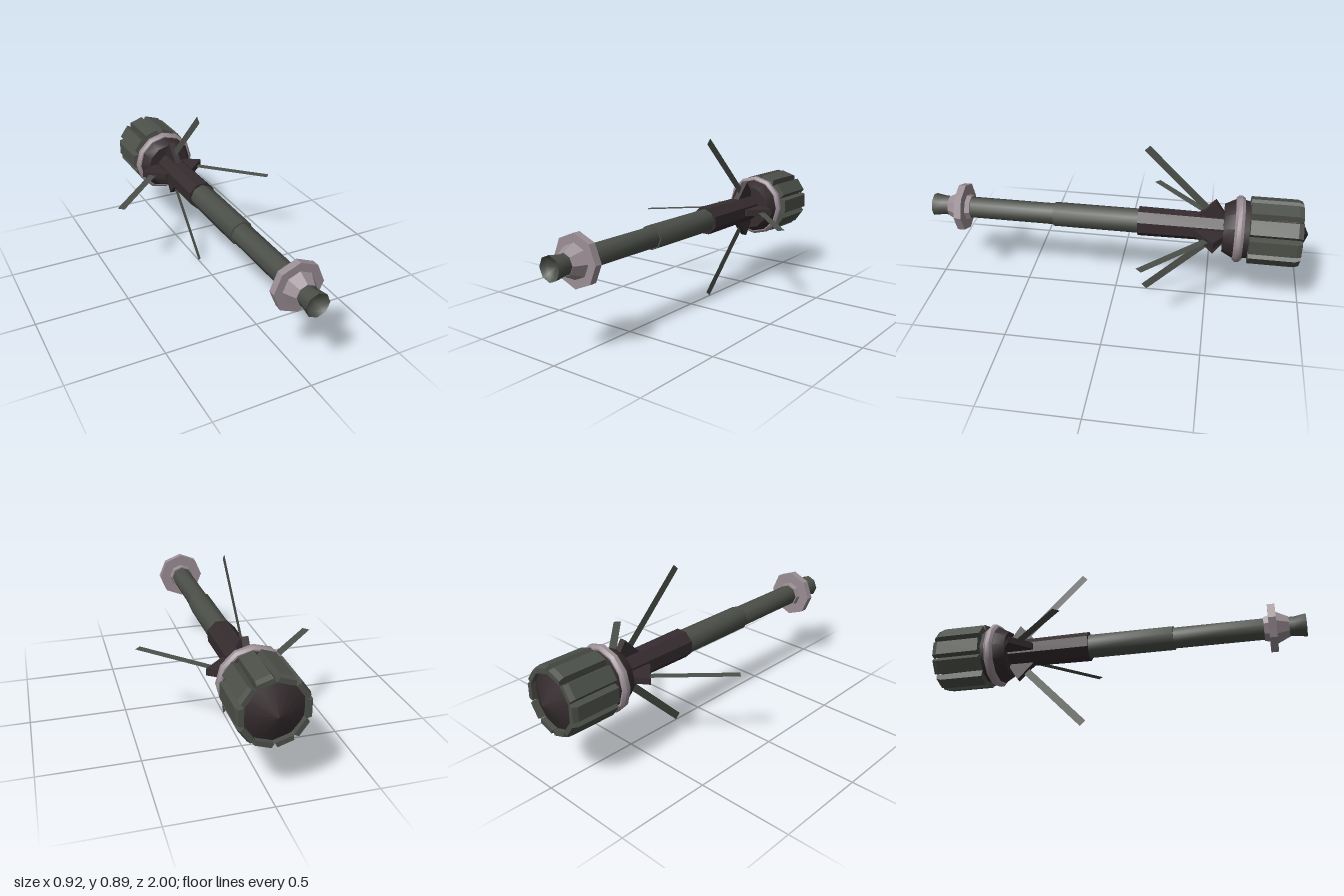
import * as THREE from 'three';
import { toCreasedNormals } from 'three/addons/utils/BufferGeometryUtils.js';

const CENTRE_Y = 0.443;

export function createModel() {
  const model = new THREE.Group();
  model.name = 'flangedMace';
  model.position.y = 0;
  const body = new THREE.Group();
  body.name = 'mace';
  body.position.y = CENTRE_Y;
  model.add(body);

  const paint = (name, color, side = THREE.FrontSide) => {
    const m = new THREE.MeshStandardMaterial({ color, side });
    m.name = name;
    return m;
  };
  const green = paint('greyGreenMetal', 0x4c5049, THREE.DoubleSide);
  const dark = paint('darkBrownMetal', 0x352c2e);
  const pale = paint('paleMauveMetal', 0x9a8e94);

  const add = (name, geometry, material, parent = body) => {
    const mesh = new THREE.Mesh(geometry, material);
    mesh.name = name;
    parent.add(mesh);
    return mesh;
  };

  // Turned part along z; profile is [radius, z] with z rising on the outside
  const turned = (name, profile, sides, material, crease) => {
    const g = new THREE.LatheGeometry(profile.map(([r, z]) => new THREE.Vector2(r, z)), sides);
    g.rotateX(Math.PI / 2);
    return add(name, toCreasedNormals(g, crease), material);
  };

  // Handle and pommel
  turned('upperHandle', [[0, -0.2], [0.066, -0.2], [0.066, 0.33], [0, 0.33]], 8, green, 0.9);
  turned('lowerHandle', [[0.058, 0.3], [0.058, 0.82]], 8, green, 0.9);
  turned('pommel', [[0.053, 0.88], [0.052, 0.94], [0.062, 1], [0.045, 0.975], [0, 0.96]], 8, green, 0.9);
  turned('guard', [
    [0.05, 0.79], [0.065, 0.79], [0.07, 0.815], [0.13, 0.815], [0.13, 0.853],
    [0.086, 0.853], [0.055, 0.915], [0.045, 0.915],
  ], 8, pale, 0.1);

  // Octagonal neck socket
  const neck = new THREE.CylinderGeometry(0.078, 0.073, 0.46, 8, 1, false, Math.PI / 8);
  neck.rotateX(Math.PI / 2).translate(0, 0, -0.353);
  add('neck', toCreasedNormals(neck, 0.1), dark);

  // Head core with pointed cap, collar and ring
  turned('headCore', [
    [0, -1], [0.15, -0.93], [0.146, -0.7], [0.155, -0.66], [0.155, -0.625],
    [0.125, -0.567], [0, -0.567],
  ], 12, dark, 0.6);
  turned('headRing', [
    [0.15, -0.67], [0.162, -0.67], [0.173, -0.655], [0.173, -0.635], [0.16, -0.623], [0.148, -0.623],
  ], 12, pale, 0.6);

  // Ten bevelled plates around the head: side profile narrowed towards its outer face
  const plateSide = new THREE.Shape([
    [0.135, -0.695], [0.171, -0.7], [0.171, -0.935], [0.162, -0.96], [0.138, -0.96],
  ].map(([r, z]) => new THREE.Vector2(r, z)));
  const plate = new THREE.ExtrudeGeometry(plateSide, { depth: 2, bevelEnabled: false });
  plate.translate(0, 0, -1);
  const p = plate.attributes.position;
  for (let i = 0; i < p.count; i++) {
    const outward = (p.getX(i) - 0.135) / 0.036;
    p.setZ(i, p.getZ(i) * (0.045 - 0.008 * outward));
  }
  plate.rotateX(Math.PI / 2);
  plate.computeVertexNormals();
  for (let i = 0; i < 10; i++) {
    add('headPlate', plate, green).rotation.z = (i * Math.PI) / 5;
  }

  // Four thin swept blades, each held by a wedge bracket
  for (let i = 0; i < 4; i++) {
    const arm = new THREE.Group();
    arm.name = 'bladeArm';
    arm.rotation.z = (i * Math.PI) / 2;
    body.add(arm);
    const inset = i % 2 ? 0.026 : 0;

    const wedge = new THREE.Shape([
      [0.185, -0.52], [0.115, -0.568], [0.04, -0.568], [0.04, -0.42], [0.085, -0.425],
    ].map(([r, z]) => new THREE.Vector2(r - inset, z)));
    const bracket = new THREE.ExtrudeGeometry(wedge, { depth: 0.035, bevelEnabled: false });
    bracket.translate(0, 0, -0.0175).rotateX(Math.PI / 2);
    add('bracket', bracket, dark, arm);

    const blade = new THREE.PlaneGeometry(0.46, 0.04);
    blade.rotateX(-Math.PI / 2).rotateY(-Math.PI / 4);
    const shift = i % 2 ? 0.018 : 0;
    blade.translate(0.284 - shift, 0, -0.34 + shift);
    add('blade', blade, green, arm);
  }

  return model;
}
